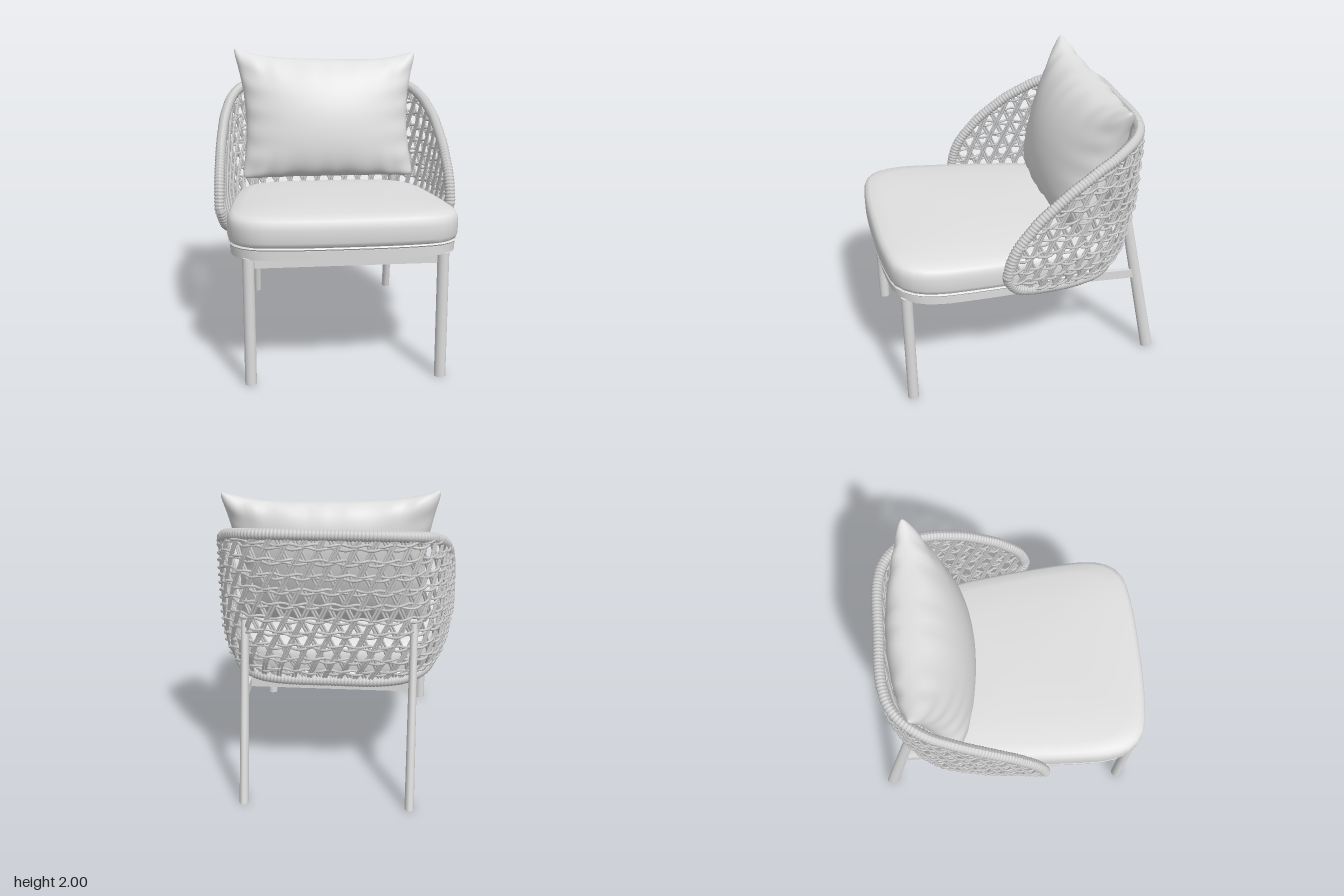
import * as THREE from 'three';
import { mergeGeometries, toCreasedNormals } from 'three/addons/utils/BufferGeometryUtils.js';

const V = (x, y, z) => new THREE.Vector3(x, y, z);

// linear lookup in a short [key, value] table with rising keys
function lookup(table, k) {
  if (k <= table[0][0]) return table[0][1];
  for (let i = 1; i < table.length; i++) {
    const [a, va] = table[i - 1], [b, vb] = table[i];
    if (k <= b) return va + (vb - va) * (k - a) / (b - a);
  }
  return table[table.length - 1][1];
}

const mirrorCurve = (half, closed) => new THREE.CatmullRomCurve3([
  ...half.map(([x, z]) => V(x, 0, z)),
  ...half.slice(closed ? 1 : 0, -1).reverse().map(([x, z]) => V(-x, 0, z)),
], closed, 'centripetal');

// ---- basket surface: a plan curve that narrows towards the bottom ----
const plan = mirrorCurve([[0.793, 0.24], [0.77, 0], [0.735, -0.3], [0.66, -0.56], [0.53, -0.715], [0.36, -0.778], [0, -0.787]], false);
const topLine = [[-0.79, 1.755], [-0.6, 1.705], [-0.4, 1.625], [-0.2, 1.515], [0, 1.365], [0.15, 1.2], [0.21, 1.09], [0.24, 0.98]];
const bottomLine = [[-0.79, 0.75], [-0.3, 0.775], [0, 0.805], [0.15, 0.85], [0.21, 0.91], [0.24, 0.98]];
const narrowX = [[0.74, 0.88], [0.85, 0.96], [1.0, 1], [1.4, 1.01], [1.77, 1]];
const narrowZ = [[0.74, 0.8], [0.9, 0.9], [1.2, 0.975], [1.6, 1.01], [1.77, 1]];

function onShell(t, y, out = 0) {
  const p = plan.getPointAt(t), d = plan.getTangentAt(t);
  return V(p.x * lookup(narrowX, y) - d.z * out, y, p.z * lookup(narrowZ, y) + d.x * out);
}
function inside(t, y) {
  if (t < 0 || t > 1) return false;
  const z = plan.getPointAt(t).z;
  return y < lookup(topLine, z) && y > lookup(bottomLine, z);
}

// closed rim wrapped in cord: a tube with a ridge for every turn
function rimGeometry() {
  const pts = [], n = 40;
  const ease = k => 0.5 - 0.5 * Math.cos(Math.PI * k / n);
  for (let k = 0; k <= n; k++) pts.push(onShell(ease(k), lookup(topLine, plan.getPointAt(ease(k)).z)));
  for (let k = n - 1; k > 0; k--) pts.push(onShell(ease(k), lookup(bottomLine, plan.getPointAt(ease(k)).z)));
  const path = new THREE.CatmullRomCurve3(pts, true, 'centripetal');
  path.arcLengthDivisions = 1000;
  const turns = 290, steps = 4, sides = 10;
  const geo = new THREE.TubeGeometry(path, turns * steps, 0.036, sides, true);
  const pos = geo.attributes.position, p = V(0, 0, 0);
  for (let i = 0; i <= turns * steps; i++) {
    const c = path.getPointAt((i % (turns * steps)) / (turns * steps));
    const s = 0.86 + 0.16 * Math.sin(Math.PI * (i % steps) / steps);
    for (let j = 0; j <= sides; j++) {
      const k = i * (sides + 1) + j;
      p.fromBufferAttribute(pos, k).sub(c).multiplyScalar(s).add(c);
      pos.setXYZ(k, p.x, p.y, p.z);
    }
  }
  geo.computeVertexNormals();
  return geo;
}

function strand(points, radius) {
  return new THREE.TubeGeometry(new THREE.CatmullRomCurve3(points), points.length - 1, radius, 5, false);
}

// level cords, paired and weaving in and out
function rowCords() {
  const list = [];
  for (let r = 0; r < 10; r++) {
    for (const s of [-1, 1]) {
      const pts = [];
      for (let i = 0; i <= 140; i++) {
        const t = i / 140;
        const y = 0.83 + r * 0.095 + s * 0.011 + 0.007 * Math.sin(i * 0.9 + s * 2.1 + r);
        if (inside(t, y)) pts.push(onShell(t, y, 0.016 + 0.014 * Math.cos(i * 0.9 + s * 2 + r)));
      }
      if (pts.length > 3) list.push(strand(pts, 0.009));
    }
  }
  return mergeGeometries(list);
}

// steep crossing cords, in pairs leaning both ways
function crossCords() {
  const list = [];
  for (const lean of [-1, 1]) for (let k = -4; k <= 33; k++) for (const side of [-1, 1]) {
    const pts = [];
    for (let i = 0; i <= 24; i++) {
      const y = 0.74 + i * 0.043;
      const t = k / 29 + side * 0.0032 + lean * 0.15 * (y - 1.2);
      if (inside(t, y)) pts.push(onShell(t, y, lean * 0.009 + 0.005));
    }
    if (pts.length > 2) list.push(strand(pts, 0.0085));
  }
  return mergeGeometries(list);
}

// ---- seat: rings of one outline, [scale, height], sloping to the back ----
const seatOutline = mirrorCurve([[0, 0.962], [0.4, 0.947], [0.6, 0.905], [0.7, 0.8], [0.735, 0.65], [0.735, 0.5], [0.7, 0], [0.65, -0.35], [0.56, -0.53], [0.4, -0.6], [0, -0.62]], true);
const slope = 0.075;
function loft(rings) {
  const n = 72, pos = [], idx = [], zc = 0.15;
  for (const [s, y] of rings) for (let j = 0; j < n; j++) {
    const p = seatOutline.getPointAt(j / n), z = zc + (p.z - zc) * s;
    pos.push(p.x * s, y + slope * (z - 0.95), z);
  }
  for (let i = 0; i < rings.length - 1; i++) for (let j = 0; j < n; j++) {
    const a = i * n + j, b = i * n + (j + 1) % n;
    idx.push(a, b, a + n, b, b + n, a + n);
  }
  const geo = new THREE.BufferGeometry();
  geo.setAttribute('position', new THREE.Float32BufferAttribute(pos, 3));
  geo.setIndex(idx);
  return toCreasedNormals(geo, 0.7);
}

// ---- back pillow: pinched square, puffed front and back, leaning back ----
function pillowGeometry() {
  const n = 44, halves = [];
  for (const face of [1, -1]) {
    const geo = new THREE.PlaneGeometry(2, 2, n, n), pos = geo.attributes.position;
    for (let i = 0; i < pos.count; i++) {
      // denser spacing towards the seams
      const u = Math.sin(pos.getX(i) * Math.PI / 2) * face, v = Math.sin(pos.getY(i) * Math.PI / 2);
      const puff = Math.pow(Math.max(0, 1 - u * u), 0.5) * Math.pow(Math.max(0, 1 - v * v), 0.42);
      const crease = 0.012 * Math.sin(u * 21 + Math.sin(u * 9)) * Math.pow(Math.abs(v), 5) * Math.min(1, puff * 3)
        + 0.008 * Math.sin(v * 17) * Math.pow(Math.abs(u), 5) * Math.min(1, puff * 3);
      const blunt = 1 - 0.04 * Math.pow(u * v, 16);
      const x = u * blunt * (0.668 + 0.025 * v - 0.07 * (1 - v * v));
      const dip = v > 0 ? 0.085 : 0.02;
      const y = 1.53 + v * blunt * (0.47 - dip * (1 - Math.pow(Math.abs(u), 4))) - 0.018 * u * Math.max(0, v);
      const z = -0.475 - 0.27 * (y - 1.53) + face * (0.25 * puff + crease);
      pos.setXYZ(i, x, y, z);
    }
    geo.computeVertexNormals();
    halves.push(geo);
  }
  return mergeGeometries(halves);
}

export function createModel() {
  const model = new THREE.Group();
  const fabric = new THREE.MeshStandardMaterial({ color: 0xe0e0e0 });
  fabric.name = 'light grey fabric';
  const metal = new THREE.MeshStandardMaterial({ color: 0xdcdcdc });
  metal.name = 'light grey metal';
  const rope = new THREE.MeshStandardMaterial({ color: 0xcccccc });
  rope.name = 'grey rope';

  const add = (name, geo, mat, parent = model) => {
    const mesh = new THREE.Mesh(geo, mat);
    mesh.name = name;
    parent.add(mesh);
    return mesh;
  };

  // seat
  add('seatCushion', loft([[0, 0.915], [0.97, 0.915], [0.99, 0.925], [1, 0.95], [1, 1.03], [0.995, 1.06], [0.98, 1.085], [0.95, 1.1], [0.85, 1.115], [0.6, 1.13], [0.3, 1.138], [0, 1.14]]), fabric);
  add('seatPiping', loft([[0.95, 0.902], [0.985, 0.902], [0.993, 0.91], [0.985, 0.918], [0.95, 0.918]]), fabric);
  add('seatBase', loft([[0, 0.84], [0.5, 0.84], [0.978, 0.84], [0.978, 0.9], [0.97, 0.905], [0, 0.905]]), metal);
  add('backPillow', pillowGeometry(), fabric);

  // woven basket back
  const basket = new THREE.Group();
  basket.name = 'wovenBack';
  model.add(basket);
  add('wrappedRim', rimGeometry(), rope, basket);
  add('rowCords', rowCords(), rope, basket);
  add('crossCords', crossCords(), rope, basket);

  // under-frame
  const bar = (name, a, b, w, h) => {
    const mesh = add(name, new THREE.BoxGeometry(w, h, a.distanceTo(b)), metal);
    mesh.position.copy(a).lerp(b, 0.5);
    mesh.lookAt(b);
  };
  for (const s of [1, -1]) {
    bar('sideRail', V(s * 0.54, 0.798, 0.81), V(s * 0.54, 0.675, -0.76), 0.03, 0.065);

    const front = add('frontLeg', new THREE.CylinderGeometry(0.037, 0.037, 0.84, 24), metal);
    front.position.set(s * 0.61, 0.42, 0.84);

    // raked leg, sheared so the foot stays level
    const geo = new THREE.CylinderGeometry(0.036, 0.044, 1.19, 24);
    geo.scale(0.68, 1, 1);
    geo.translate(0, 0.595, 0);
    geo.applyMatrix4(new THREE.Matrix4().set(1, 0, 0, s * 0.535, 0, 1, 0, 0, 0, 0.212, 1, -0.917, 0, 0, 0, 1));
    add('backLeg', geo, metal);
  }
  bar('frontRail', V(-0.59, 0.797, 0.82), V(0.59, 0.797, 0.82), 0.03, 0.065);
  bar('backRail', V(-0.535, 0.692, -0.55), V(0.535, 0.692, -0.55), 0.03, 0.065);

  return model;
}
